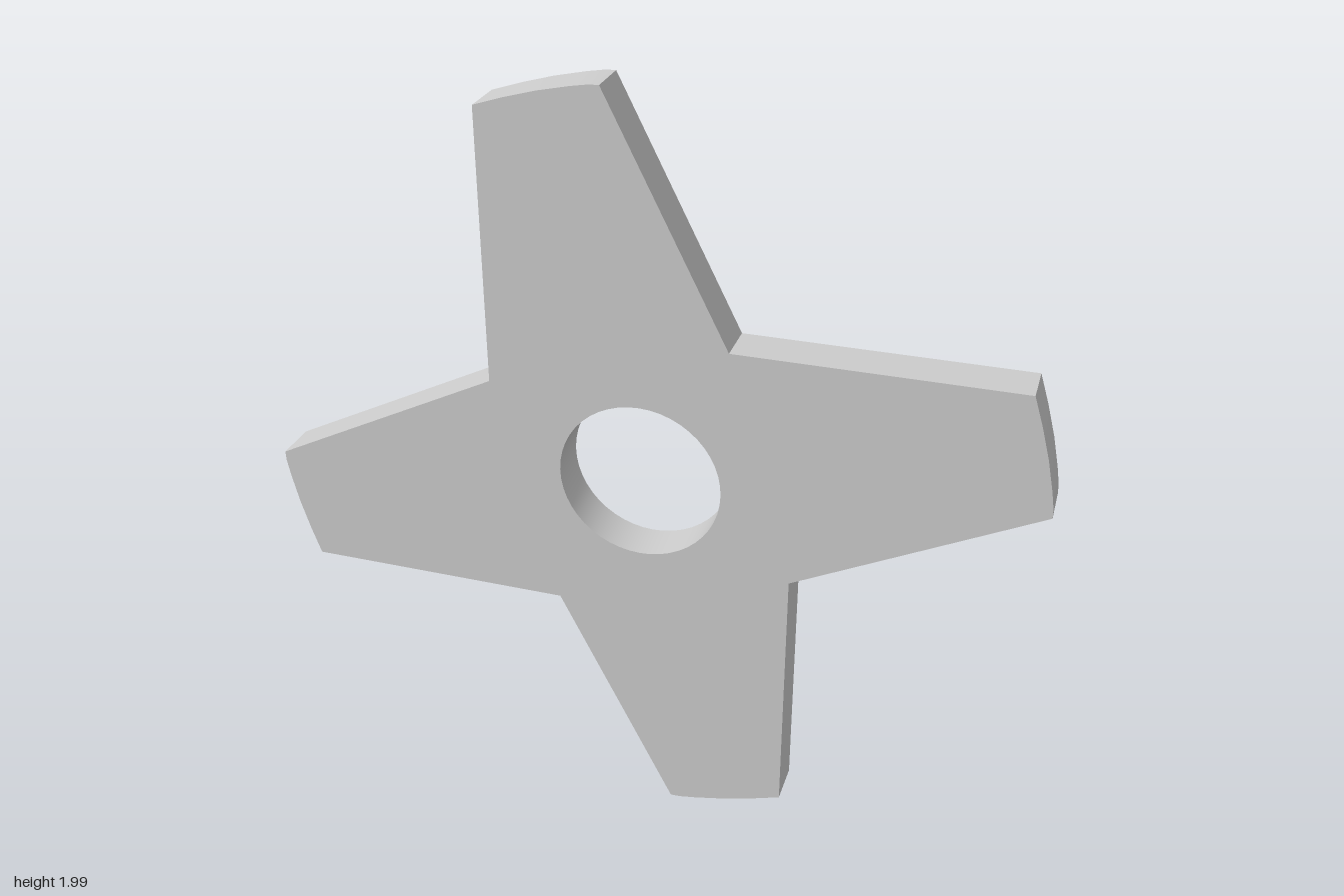
import * as THREE from 'three';
import { toCreasedNormals } from 'three/addons/utils/BufferGeometryUtils.js';

export function createModel() {
  const group = new THREE.Group();
  group.name = 'fourBladeStar';
  const thickness = 0.115;

  // One blade about the hub: inner corner, outer corner, curved tip
  const blade = [
    [-0.39, 0.22], [-0.395, 0.92], [-0.32, 0.945], [-0.24, 0.968],
    [-0.16, 0.986], [-0.115, 0.994], [-0.09, 0.995],
  ];

  // Repeat the blade in quarter turns, clockwise
  const outline = [];
  for (let i = 0; i < 4; i++) {
    const turn = -i * Math.PI / 2;
    for (const [x, y] of blade) {
      outline.push(new THREE.Vector2(x, y).rotateAround(new THREE.Vector2(), turn));
    }
  }
  const shape = new THREE.Shape(outline.reverse());

  // Round centre hole
  const hole = new THREE.Path();
  hole.absarc(0, 0, 0.209, 0, Math.PI * 2, true);
  shape.holes.push(hole);

  const geometry = new THREE.ExtrudeGeometry(shape, {
    depth: thickness, bevelEnabled: false, curveSegments: 24,
  });
  geometry.translate(0, 1, -thickness / 2);

  const plate = new THREE.Mesh(
    toCreasedNormals(geometry, Math.PI / 6),
    new THREE.MeshStandardMaterial({ color: 0xcccccc }),
  );
  plate.name = 'bladePlate';
  group.add(plate);
  return group;
}
